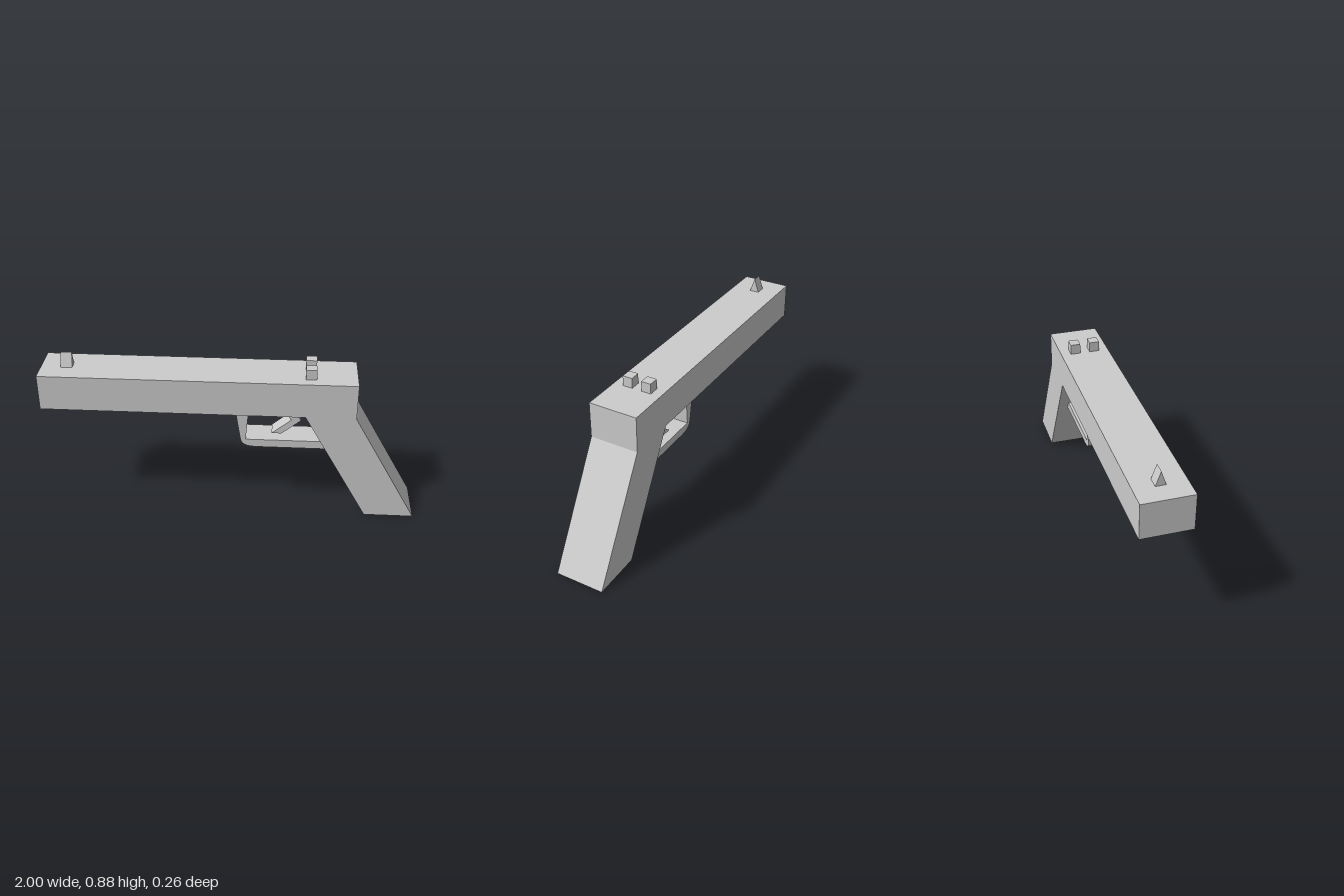
import * as THREE from 'three';

const material = new THREE.MeshStandardMaterial({ color: 0xcccccc, flatShading: true });

// Side outline in x/y, extruded evenly about z = 0
function slab(name, shape, width) {
  const geometry = new THREE.ExtrudeGeometry(shape, { depth: width, bevelEnabled: false, curveSegments: 6 });
  geometry.translate(0, 0, -width / 2);
  const mesh = new THREE.Mesh(geometry, material);
  mesh.name = name;
  return mesh;
}

const outline = (points) => new THREE.Shape(points.map(([x, y]) => new THREE.Vector2(x, y)));

export function createModel() {
  const group = new THREE.Group();
  group.name = 'pistol';

  // Barrel housing and raked grip in one piece
  group.add(slab('body', outline([
    [-1, 0.612], [0.39, 0.612], [0.735, 0], [1, 0], [0.652, 0.612], [0.652, 0.806], [-1, 0.806],
  ]), 0.264));

  // Trigger guard with a rounded outer corner, its end sunk into the grip
  const guard = new THREE.Shape();
  guard.moveTo(0.02, 0.62);
  guard.lineTo(0.05, 0.43);
  guard.bezierCurveTo(0.055, 0.4, 0.08, 0.386, 0.13, 0.385);
  guard.lineTo(0.54, 0.385);
  guard.lineTo(0.54, 0.43);
  guard.lineTo(0.078, 0.43);
  guard.lineTo(0.093, 0.62);
  group.add(slab('triggerGuard', guard, 0.15));

  // Bent trigger
  group.add(slab('trigger', outline([
    [0.257, 0.62], [0.308, 0.62], [0.37, 0.54], [0.268, 0.455], [0.215, 0.455], [0.318, 0.54],
  ]), 0.09));

  // Front sight: triangular ridge running along x
  const ridge = new THREE.ExtrudeGeometry(
    outline([[-0.027, 0.804], [0.027, 0.804], [0, 0.883]]), { depth: 0.06, bevelEnabled: false });
  ridge.rotateY(Math.PI / 2).translate(-0.895, 0, 0);
  const frontSight = new THREE.Mesh(ridge, material);
  frontSight.name = 'frontSight';
  group.add(frontSight);

  // Rear sight: a pair of small posts
  for (const side of [-1, 1]) {
    const post = new THREE.Mesh(new THREE.BoxGeometry(0.056, 0.057, 0.053), material);
    post.position.set(0.412, 0.8325, side * 0.053);
    post.name = side > 0 ? 'rearSightFront' : 'rearSightBack';
    group.add(post);
  }
  return group;
}
